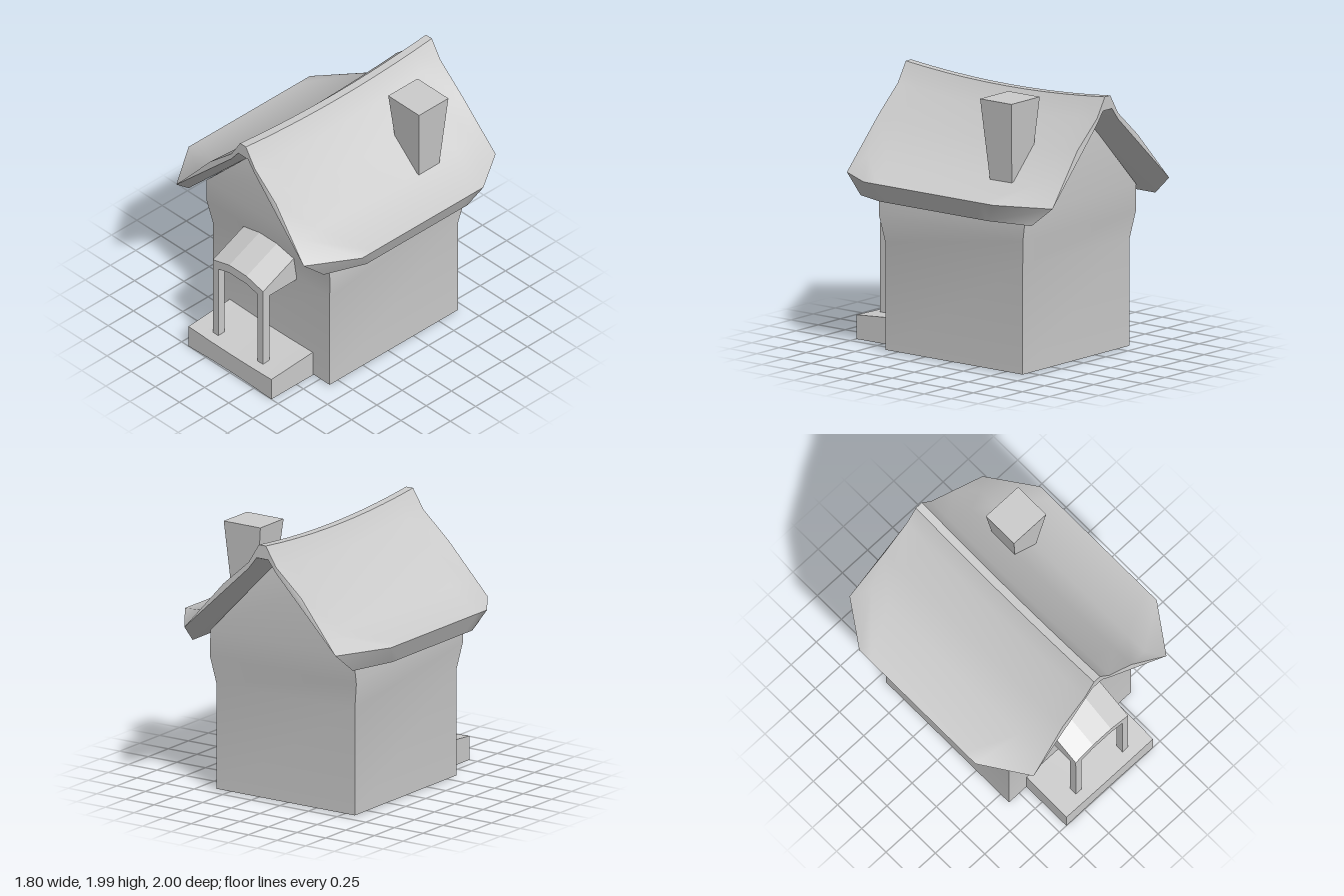
import * as THREE from 'three';
import { toCreasedNormals } from 'three/addons/utils/BufferGeometryUtils.js';

const material = new THREE.MeshStandardMaterial({ color: 0xcccccc });

// Mesh from convex polygons, each a list of [x, y, z] corners
function polyMesh(name, polys, crease = 0.6) {
  const pos = [];
  for (const p of polys)
    for (let i = 1; i < p.length - 1; i++) pos.push(...p[0], ...p[i], ...p[i + 1]);
  const geo = new THREE.BufferGeometry();
  geo.setAttribute('position', new THREE.Float32BufferAttribute(pos, 3));
  const mesh = new THREE.Mesh(toCreasedNormals(geo, crease), material);
  mesh.name = name;
  return mesh;
}

// Polygons joining closed rings; rings run anticlockwise seen from the far end
function loft(rings, capped = true) {
  const polys = [];
  for (let r = 0; r < rings.length - 1; r++) {
    const a = rings[r], b = rings[r + 1];
    a.forEach((p, i) => {
      const j = (i + 1) % a.length;
      polys.push([p, a[j], b[j], b[i]]);
    });
  }
  if (capped) polys.push([...rings[0]].reverse(), rings[rings.length - 1]);
  return polys;
}

// Horizontal rectangle ring
const rect = (y, hx, hz, cx = 0, cz = 0) => [
  [cx + hx, y, cz + hz], [cx + hx, y, cz - hz], [cx - hx, y, cz - hz], [cx - hx, y, cz + hz],
];

function buildRoof() {
  // Half profile from ridge to eave and back underneath: x, y, half length, sag at the middle
  const profile = [
    [0.03, 1.99, 0.92, 0.05], [0.12, 1.845, 0.92, 0.05], [0.34, 1.65, 0.92, 0.04],
    [0.54, 1.4, 0.85, 0.01], [0.9, 1.3, 0.6, 0],
    [0.84, 1.16, 0.5, 0], [0.7, 1.14, 0.79, 0], [0.2, 1.64, 0.69, 0], [0.05, 1.8, 0.67, 0],
  ];
  const rings = [];
  const steps = 10;
  for (let s = 0; s <= steps; s++) {
    const t = 1 - (2 * s) / steps;
    const half = profile.map(([x, y, z, sag]) => [x, y - sag * (1 - t * t), z * t]);
    const other = half.map(([x, y, z]) => [-x, y, z]).reverse();
    rings.push([...half, ...other]);
  }
  const polys = loft(rings, false);

  // Gable ends: rim, turned corner and sloping soffit, mirrored to four corners
  const [T0, T1, T2, T3, T4, B4, B3, B2, B1] = profile.map((p) => p.slice(0, 3));
  const L0 = [0.05, 1.89, 0.92], L1 = [0.12, 1.8, 0.92], E = [0.66, 1.28, 0.95];
  const mid = (p) => [0, p[1], p[2]];
  const corner = [
    [mid(T0), mid(L0), L0, T0], [T0, L0, L1, T1], [T1, L1, E, T2],
    [T2, E, T3], [T4, T3, E], [T4, E, B3, B4],
    [B2, B3, E, L1], [B1, B2, L1, L0], [mid(B1), B1, L0, mid(L0)],
  ];
  for (const sx of [1, -1]) for (const sz of [1, -1])
    for (const poly of corner) {
      const p = poly.map(([x, y, z]) => [x * sx, y, z * sz]);
      polys.push(sx * sz < 0 ? p.reverse() : p);
    }
  const roof = polyMesh('roof', polys, 0.72);
  roof.position.z = -0.05;
  return roof;
}

export function createModel() {
  const house = new THREE.Group();
  house.name = 'cottage';

  // Walls flare below the eaves, then narrow into the gable
  house.add(polyMesh('walls', loft([
    [0.01, 0.605, 0.635], [0.8, 0.605, 0.635], [1.0, 0.64, 0.665],
    [1.2, 0.625, 0.68], [1.64, 0.2, 0.68], [1.8, 0.05, 0.66],
  ].map(([y, hx, hz]) => rect(y, hx, hz, 0, -0.045)))));

  house.add(buildRoof());

  // Chimney widens upward
  house.add(polyMesh('chimney', loft([
    rect(1.3, 0.095, 0.095, 0.455, -0.44), rect(1.98, 0.16, 0.145, 0.45, -0.435),
  ])));

  // Doorstep, slightly bowed
  house.add(polyMesh('doorstep', loft([-0.43, -0.2, 0, 0.2, 0.43].map((x) => {
    const bow = 1 - (x / 0.43) ** 2;
    const low = 0.013 * bow, top = 0.178 - 0.008 * bow;
    return [[x, low, 0.56], [x, top + 0.03, 0.56], [x, top, 1], [x, low, 1]];
  }))));

  // Porch: arched sloping canopy on two posts
  const porch = new THREE.Group();
  porch.name = 'porch';
  porch.add(polyMesh('canopy', loft([-0.26, -0.09, 0.09, 0.26].map((x) => {
    const rise = Math.abs(x) < 0.1 ? 0.045 : 0;
    return [
      [x, 0.77 + rise, 0.57], [x, 0.995 + rise, 0.57],
      [x, 0.835 + rise, 0.92], [x, 0.765 + rise, 0.92],
    ];
  })), 0.2));
  for (const side of [1, -1]) {
    const post = new THREE.Mesh(new THREE.BoxGeometry(0.055, 0.63, 0.062), material);
    post.position.set(side * 0.232, 0.475, 0.889);
    post.name = side > 0 ? 'leftPost' : 'rightPost';
    porch.add(post);
  }
  house.add(porch);
  return house;
}
